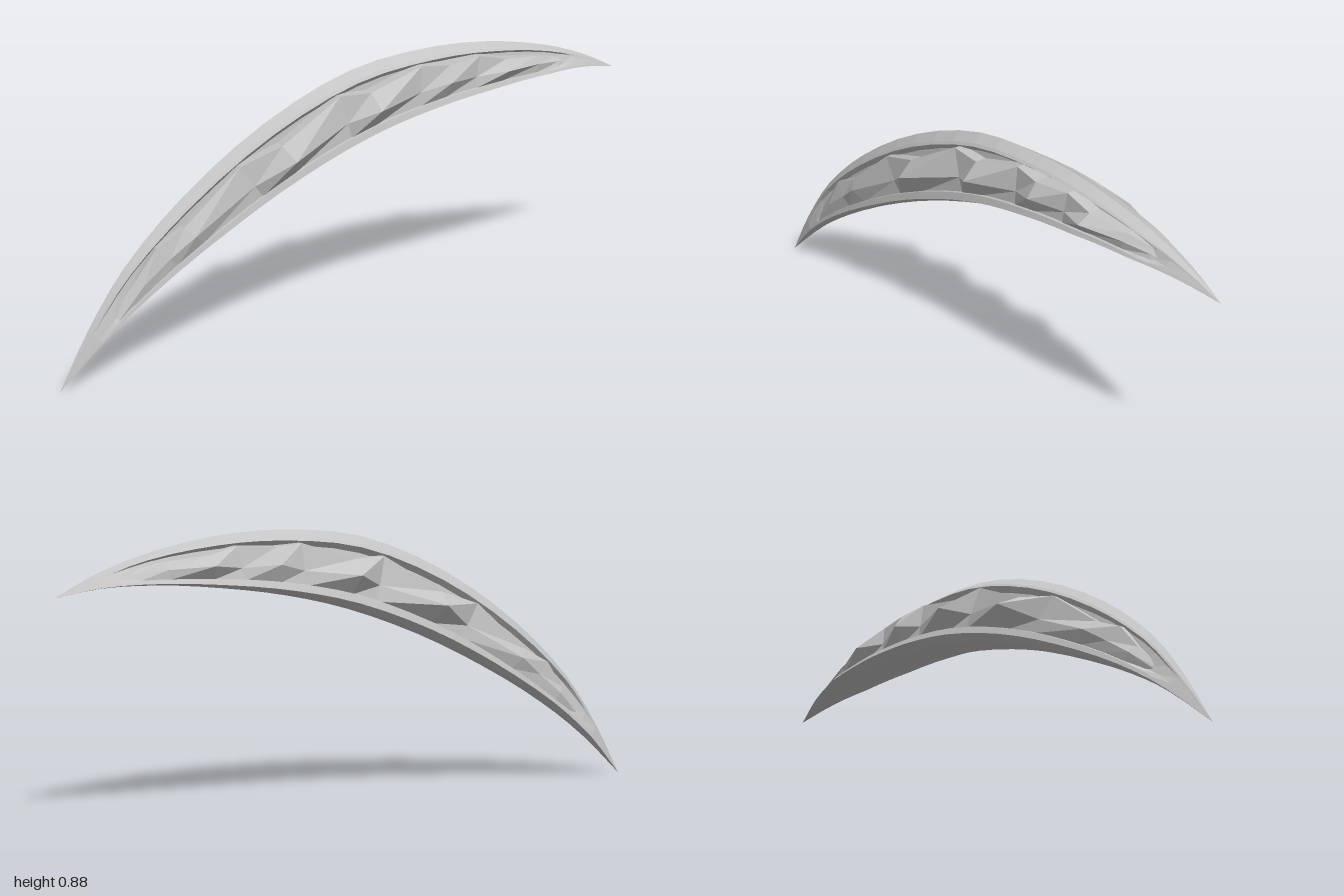
import * as THREE from 'three';

const curve = (pts) => new THREE.CatmullRomCurve3(pts.map(([x, y]) => new THREE.Vector3(x, y, 0)));

// Paired stations along the upper spine and the lower keel
const spine = curve([[-1, 0], [-.9, .18], [-.78, .35], [-.58, .54], [-.3, .725], [0, .845],
  [.28, .875], [.5, .863], [.72, .82], [.88, .765], [1, .705]]);
const keel = curve([[-1, 0], [-.86, .135], [-.69, .262], [-.44, .41], [-.2, .528], [.05, .622],
  [.26, .675], [.47, .708], [.7, .729], [.86, .728], [1, .705]]);
const halfWidths = [0, .032, .052, .07, .08, .085, .088, .085, .068, .036, 0];

function halfWidth(s) {
  const i = Math.min(9, Math.floor(s));
  return THREE.MathUtils.lerp(halfWidths[i], halfWidths[i + 1], s - i);
}

// Point at station s, height fraction u and sideways offset w; the crescent is yawed and its keel bows to the back
function place(s, u, w, bow) {
  const p = keel.getPoint(s / 10).lerp(spine.getPoint(s / 10), u);
  p.z = w - .046 * p.x - bow * (1 - u) * (1 - p.x * p.x);
  return p;
}

// Ring from one side's [offset, height] profile, mirrored to the other side
function ring(s, profile, bow) {
  const front = profile.map(([w, u]) => place(s, u, w, bow));
  const back = profile.filter(([w]) => w > 0).map(([w, u]) => place(s, u, -w, bow)).reverse();
  return front.concat(back);
}

// Skin a list of closed rings
function loft(rings) {
  const n = rings[0].length, pos = [], idx = [];
  rings.forEach((r) => r.forEach((p) => pos.push(p.x, p.y, p.z)));
  for (let i = 0; i < rings.length - 1; i++) {
    for (let j = 0; j < n; j++) {
      const a = i * n + j, d = i * n + (j + 1) % n;
      idx.push(a, a + n, d + n, a, d + n, d);
    }
  }
  const g = new THREE.BufferGeometry();
  g.setAttribute('position', new THREE.Float32BufferAttribute(pos, 3));
  g.setIndex(idx);
  g.computeVertexNormals();
  return g;
}

export function createModel() {
  const stone = new THREE.MeshStandardMaterial({ color: 0xc4c4c4 });
  stone.flatShading = true;
  stone.side = THREE.DoubleSide;
  const group = new THREE.Group();
  const add = (name, geometry) => {
    const m = new THREE.Mesh(geometry, stone);
    m.name = name;
    group.add(m);
  };

  // Crescent body: rounded keel, rim, groove, overhanging lip, sharp spine
  const solid = [[0, 0], [.6, .035], [1, .11], [.92, .22], [.76, .42], [.48, .74], [.44, .8], [.38, .87], [0, 1]];
  const grooved = [[0, 0], [.6, .035], [1, .11], [.92, .21], [.45, .24], [.24, .77], [.46, .85], [.38, .89], [0, 1]];
  const rings = [];
  for (let k = 0; k <= 30; k++) {
    const s = k / 3;
    const g = THREE.MathUtils.smoothstep(s, 1, 2) * (1 - THREE.MathUtils.smoothstep(s, 7.8, 8.8));
    const w = Math.max(halfWidth(s), 1e-4);
    rings.push(ring(s, solid.map(([a, b], i) => [
      w * THREE.MathUtils.lerp(a, grooved[i][0], g),
      THREE.MathUtils.lerp(b, grooved[i][1], g),
    ]), .019));
  }
  add('crescentBody', loft(rings));

  // Jagged crystals in the groove: [station, top height, top offset, middle height, middle offset]
  const facets = [
    [1.3, .55, .01, .42, .015], [2.0, .64, .025, .45, .045], [2.4, .8, .035, .45, .05],
    [2.75, .68, .04, .48, .07], [3.55, .81, .045, .42, .058],
    [4.0, .68, .06, .5, .126], [4.75, .82, .05, .42, .062],
    [5.1, .68, .06, .48, .12], [5.8, .82, .055, .42, .064],
    [6.2, .76, .07, .5, .1], [6.75, .81, .055, .42, .062],
    [7.2, .7, .06, .5, .1], [7.8, .7, .04, .48, .058], [8.3, .66, .02, .48, .035], [8.9, .5, .008, .4, .01],
  ];
  add('crystals', loft(facets.map(([s, topU, topW, midU, midW]) =>
    ring(s, [[halfWidth(s) * .78, .2], [midW, midU], [topW, topU]], .014))));
  return group;
}
